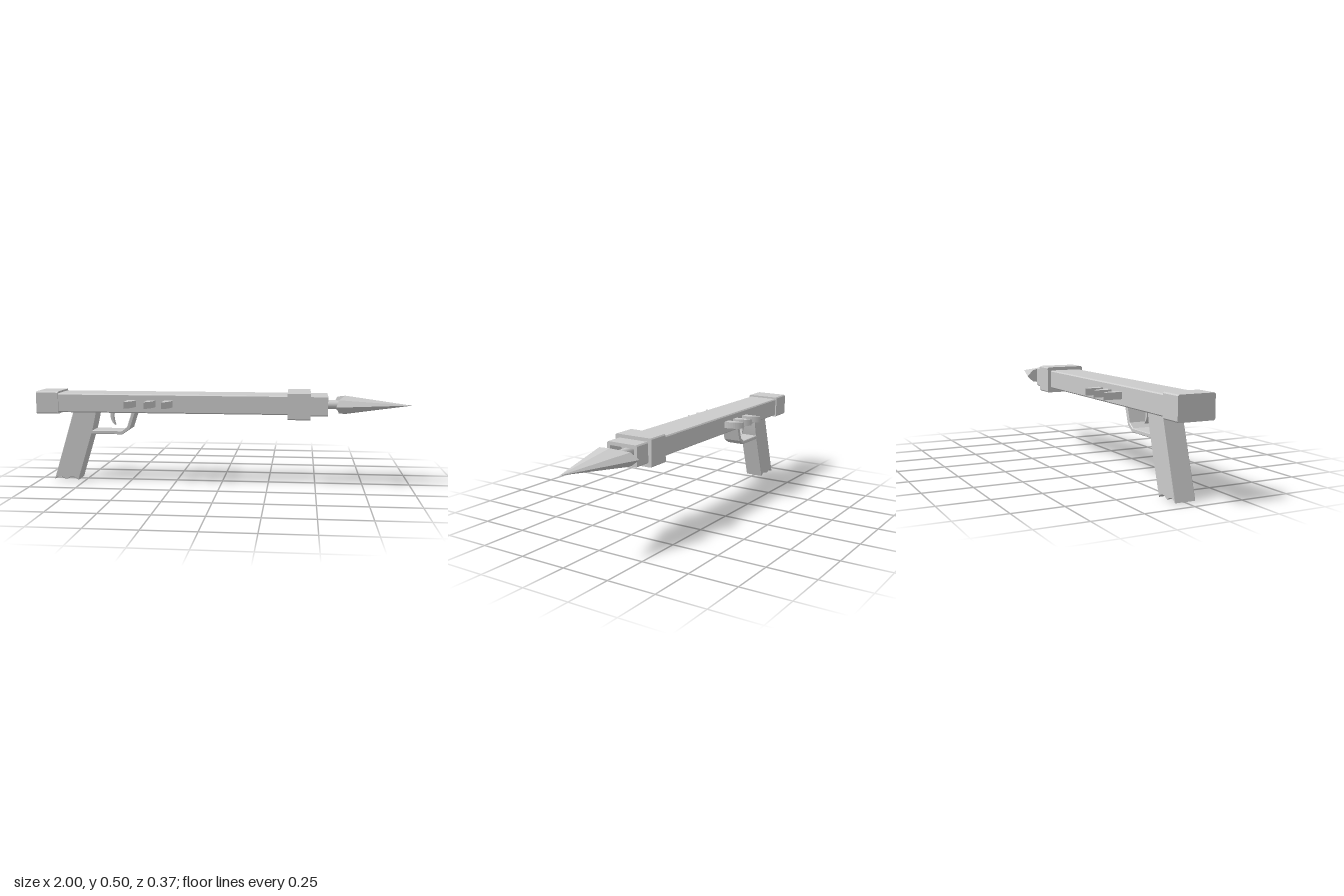
import * as THREE from 'three';

const AXIS_Y = 0.428;
const mat = new THREE.MeshStandardMaterial({ color: 0xcccccc });
const flatMat = new THREE.MeshStandardMaterial({ color: 0xcccccc, flatShading: true, side: THREE.DoubleSide });

// Rectangle with small chamfered corners, as [x, y] points
function chamferedRect(hw, y0, y1, c) {
  return [[-hw + c, y0], [hw - c, y0], [hw, y0 + c], [hw, y1 - c],
    [hw - c, y1], [-hw + c, y1], [-hw, y1 - c], [-hw, y0 + c]];
}
const toShape = (pts) => new THREE.Shape(pts.map(([x, y]) => new THREE.Vector2(x, y)));

function addMesh(group, name, geometry, material = mat) {
  const mesh = new THREE.Mesh(geometry, material);
  mesh.name = name;
  group.add(mesh);
  return mesh;
}

// Block running along x, with an optional hollow of the given wall thickness
function barrelBlock(x0, x1, hw, y0, y1, wall = 0) {
  const shape = toShape(chamferedRect(hw, y0, y1, 0.006));
  if (wall) shape.holes.push(toShape(chamferedRect(hw - wall, y0 + wall, y1 - wall, 0.003)));
  return new THREE.ExtrudeGeometry(shape, { depth: x1 - x0, bevelEnabled: false })
    .rotateY(Math.PI / 2).translate(x0, 0, 0);
}

// Side profile given a width across z, with a slight edge bevel
function sideProfile(shape, width, bevel = 0.003) {
  return new THREE.ExtrudeGeometry(shape, {
    depth: width - 2 * bevel, bevelEnabled: bevel > 0, bevelThickness: bevel,
    bevelSize: bevel, bevelOffset: -bevel, bevelSegments: 1, curveSegments: 10,
  }).translate(0, 0, -width / 2 + bevel);
}

// Barbed spear tip: an eight-sided swept-back rim, a point and a notched back
function spearTip() {
  const rim = [[0.6, 0, 0.133], [0.615, 0.034, 0.093], [0.652, 0.049, 0], [0.615, 0.034, -0.093],
    [0.6, 0, -0.133], [0.615, -0.034, -0.093], [0.652, -0.049, 0], [0.615, -0.034, 0.093]];
  const tip = [1, 0, 0], notch = [0.652, 0, 0], pos = [];
  rim.forEach((a, i) => {
    const b = rim[(i + 1) % rim.length];
    pos.push(...tip, ...a, ...b, ...notch, ...b, ...a);
  });
  const g = new THREE.BufferGeometry();
  g.setAttribute('position', new THREE.Float32BufferAttribute(pos, 3));
  g.computeVertexNormals();
  return g.translate(0, AXIS_Y, 0);
}

export function createModel() {
  const model = new THREE.Group();
  model.name = 'spearGun';

  // Barrel sections
  addMesh(model, 'barrel', barrelBlock(-0.9, 0.37, 0.088, 0.38, 0.482));
  addMesh(model, 'rearCap', barrelBlock(-1, -0.88, 0.095, 0.372, 0.492));
  addMesh(model, 'frontCollar', barrelBlock(0.35, 0.47, 0.108, 0.356, 0.5));
  addMesh(model, 'muzzle', barrelBlock(0.46, 0.56, 0.089, 0.375, 0.482, 0.018));

  // Spear
  const shaft = new THREE.CylinderGeometry(0.024, 0.024, 0.21, 16)
    .rotateZ(Math.PI / 2).translate(0.56, AXIS_Y, 0);
  addMesh(model, 'spearShaft', shaft);
  addMesh(model, 'spearTip', spearTip(), flatMat);

  // Side fins: straight rear edge, curved front edge
  const fin = new THREE.Shape();
  fin.moveTo(0, -0.07);
  fin.lineTo(0.045, -0.07);
  fin.lineTo(0.045, -0.095);
  fin.quadraticCurveTo(0.042, -0.155, 0, -0.185);
  fin.closePath();
  const finGeo = new THREE.ExtrudeGeometry(fin, { depth: 0.035, bevelEnabled: false, curveSegments: 8 })
    .rotateX(-Math.PI / 2);
  for (const x of [-0.5, -0.394, -0.302]) {
    addMesh(model, 'leftSideFin', finGeo).position.set(x, 0.415, 0);
    const other = addMesh(model, 'rightSideFin', finGeo);
    other.rotation.x = Math.PI;
    other.position.set(x, 0.45, 0);
  }

  // Raked grip with a wavy butt
  const grip = new THREE.Shape();
  grip.moveTo(-0.807, 0.39);
  grip.lineTo(-0.925, 0.004);
  grip.quadraticCurveTo(-0.898, 0.028, -0.875, 0.012);
  grip.quadraticCurveTo(-0.855, 0, -0.84, 0.015);
  grip.quadraticCurveTo(-0.82, 0.025, -0.79, 0.002);
  grip.lineTo(-0.705, 0.275);
  grip.quadraticCurveTo(-0.69, 0.33, -0.68, 0.39);
  grip.closePath();
  addMesh(model, 'grip', sideProfile(grip, 0.108));

  // Trigger guard
  const guard = toShape([[-0.72, 0.259], [-0.54, 0.259], [-0.498, 0.287], [-0.464, 0.39],
    [-0.485, 0.39], [-0.514, 0.302], [-0.545, 0.279], [-0.72, 0.279]]);
  addMesh(model, 'triggerGuard', sideProfile(guard, 0.108));

  // Curved trigger
  const trigger = new THREE.Shape();
  trigger.moveTo(-0.612, 0.39);
  trigger.quadraticCurveTo(-0.622, 0.33, -0.588, 0.305);
  trigger.quadraticCurveTo(-0.605, 0.345, -0.592, 0.39);
  trigger.closePath();
  addMesh(model, 'trigger', sideProfile(trigger, 0.03, 0));

  return model;
}
